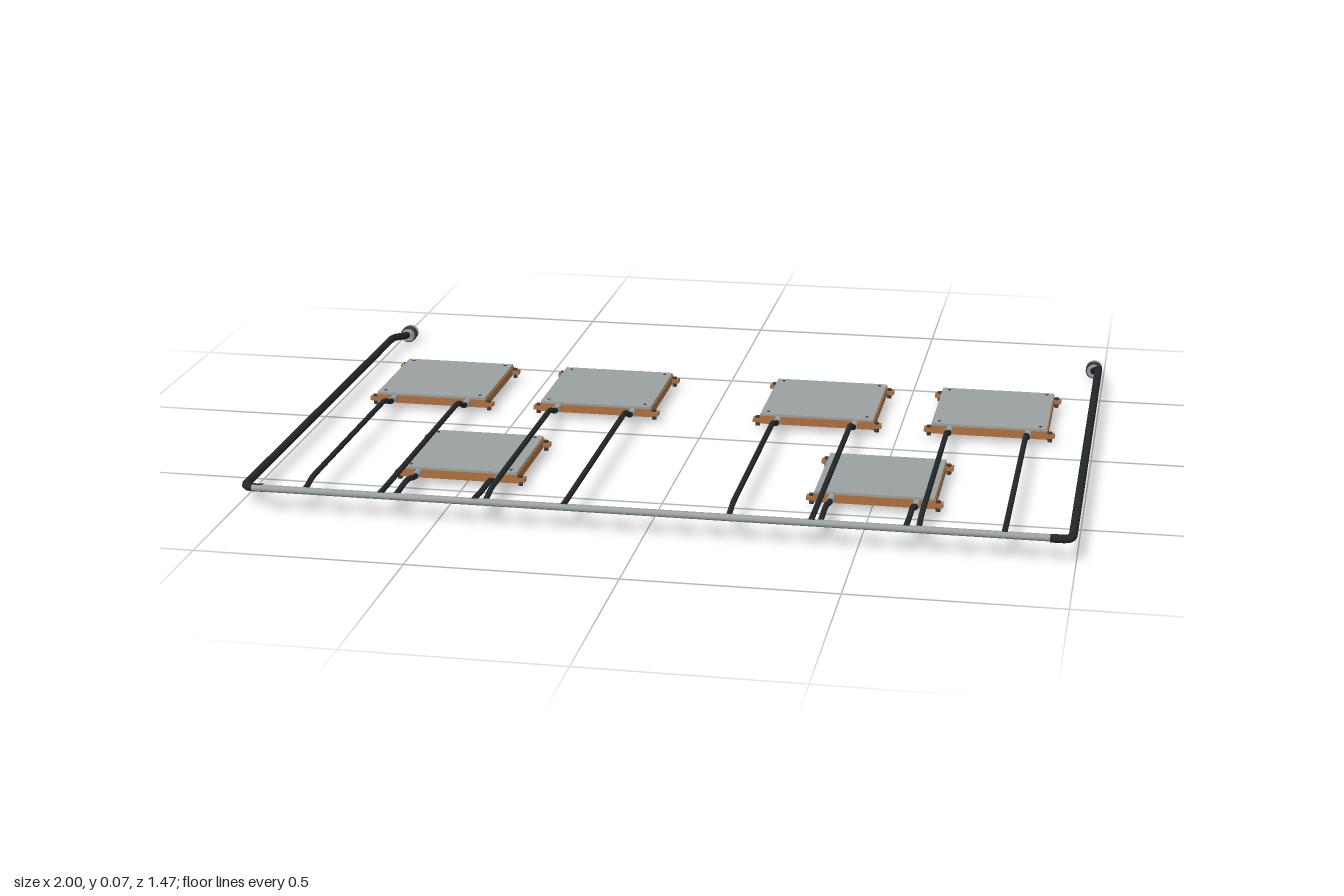
import * as THREE from 'three';

const mat = (color) => new THREE.MeshStandardMaterial({ color });
const steel = mat(0x9aa1a1), rubber = mat(0x24272a), copper = mat(0xb0703f);
const paste = mat(0x3a3a3a), dark = mat(0x3a3d40);

function add(parent, name, geometry, material, x = 0, y = 0, z = 0) {
  const mesh = new THREE.Mesh(geometry, material);
  mesh.name = name;
  mesh.position.set(x, y, z);
  parent.add(mesh);
  return mesh;
}
const box = (w, h, d) => new THREE.BoxGeometry(w, h, d);
const rod = (r, h, n = 20) => new THREE.CylinderGeometry(r, r, h, n);

// Straight runs joined by short rounded bends
function hosePath(points, bend) {
  const p = points.map((a) => new THREE.Vector3(...a));
  const path = new THREE.CurvePath();
  let start = p[0];
  for (let i = 1; i < p.length - 1; i++) {
    const toward = (q) => p[i].clone().add(
      q.clone().sub(p[i]).setLength(Math.min(bend, q.distanceTo(p[i]) * 0.45)));
    const a = toward(p[i - 1]), b = toward(p[i + 1]);
    path.add(new THREE.LineCurve3(start, a));
    path.add(new THREE.QuadraticBezierCurve3(a, p[i], b));
    start = b;
  }
  path.add(new THREE.LineCurve3(start, p[p.length - 1]));
  return path;
}
const hose = (parent, name, points, radius, bend) =>
  add(parent, name, new THREE.TubeGeometry(hosePath(points, bend), 140, radius, 12), rubber);

const inletRail = { y: 0.042, z: 0.675 };
const outletRail = { y: 0.059, z: 0.725 };

// Copper base, steel lid, contact pad, mounting tabs and screws
function coldPlate(x, z, width, depth, padW, padD) {
  const g = new THREE.Group();
  g.name = 'coldPlate';
  g.position.set(x, 0, z);
  add(g, 'plateBase', box(width, 0.021, depth), copper, 0, 0.0265, 0);
  add(g, 'plateLid', box(width - 0.004, 0.006, depth - 0.004), steel, 0, 0.04, 0);
  add(g, 'contactPad', box(padW, 0.006, padD), copper, 0, 0.013, 0);
  add(g, 'thermalPaste', box(padW - 0.004, 0.002, padD - 0.004), paste, 0, 0.009, 0);
  for (const sx of [-1, 1]) for (const sz of [-1, 1]) {
    const tx = sx * (width / 2 + 0.006), tz = sz * (depth / 2 - 0.01);
    add(g, 'mountingTab', box(0.024, 0.01, 0.02), copper, tx, 0.024, tz);
    add(g, 'mountingScrew', rod(0.006, 0.026, 12), dark, tx, 0.021, tz);
    add(g, 'lidScrew', rod(0.004, 0.002, 10), dark,
      sx * (width / 2 - 0.02), 0.0435, sz * (depth / 2 - 0.02));
  }
  return g;
}

// Fitting at the plate edge and a hose that climbs to its rail
function branch(parent, x, edgeZ, rail, cruiseY) {
  const y = 0.03;
  add(parent, 'plateFitting', rod(0.009, 0.03), steel, x, y, edgeZ + 0.012).rotation.x = Math.PI / 2;
  hose(parent, 'branchHose', [
    [x, y, edgeZ + 0.005], [x, y, edgeZ + 0.04], [x, cruiseY, edgeZ + 0.09],
    [x, cruiseY, rail.z - 0.07], [x, rail.y, rail.z - 0.03], [x, rail.y, rail.z],
  ], 0.0068, 0.025);
}

export function createModel() {
  const root = new THREE.Group();
  root.name = 'liquidCoolingLoop';

  // Back row of four larger plates
  for (const x of [-0.74, -0.295, 0.29, 0.735]) {
    root.add(coldPlate(x, -0.255, 0.298, 0.31, 0.155, 0.17));
    branch(root, x - 0.1, -0.1, inletRail, 0.052);
    branch(root, x + 0.1, -0.1, outletRail, 0.058);
  }

  // Front row of two smaller plates
  for (const x of [-0.512, 0.508]) {
    root.add(coldPlate(x, 0.32, 0.292, 0.29, 0.13, 0.155));
    branch(root, x - 0.102, 0.465, inletRail, 0.045);
    branch(root, x + 0.102, 0.465, outletRail, 0.055);
  }

  // Rails, each feeding one long side hose with a rear connector
  for (const [side, rail] of [[-1, inletRail], [1, outletRail]]) {
    add(root, 'manifoldRail', rod(0.0078, 1.9), steel, 0, rail.y, rail.z).rotation.z = Math.PI / 2;
    hose(root, 'sideHose', [
      [side * 0.94, rail.y, rail.z], [side * 0.99, rail.y, rail.z],
      [side * 0.99, rail.y, -0.6], [side * 0.974, 0.024, -0.685], [side * 0.974, 0.024, -0.72],
    ], 0.01, 0.028);

    const connector = new THREE.Group();
    connector.name = 'rearConnector';
    connector.position.set(side * 0.974, 0.022, 0);
    root.add(connector);
    const ring = (name, r, len, z, m, n) =>
      add(connector, name, rod(r, len, n), m, 0, 0, z).rotation.x = Math.PI / 2;
    ring('connectorCollar', 0.015, 0.014, -0.693, steel);
    ring('connectorNut', 0.022, 0.018, -0.708, dark, 24);
    ring('connectorBody', 0.018, 0.04, -0.715, steel);
    add(connector, 'connectorRim', new THREE.TorusGeometry(0.016, 0.005, 10, 24), steel, 0, 0, -0.731);
    ring('connectorBore', 0.01, 0.002, -0.735, dark);
  }
  return root;
}
